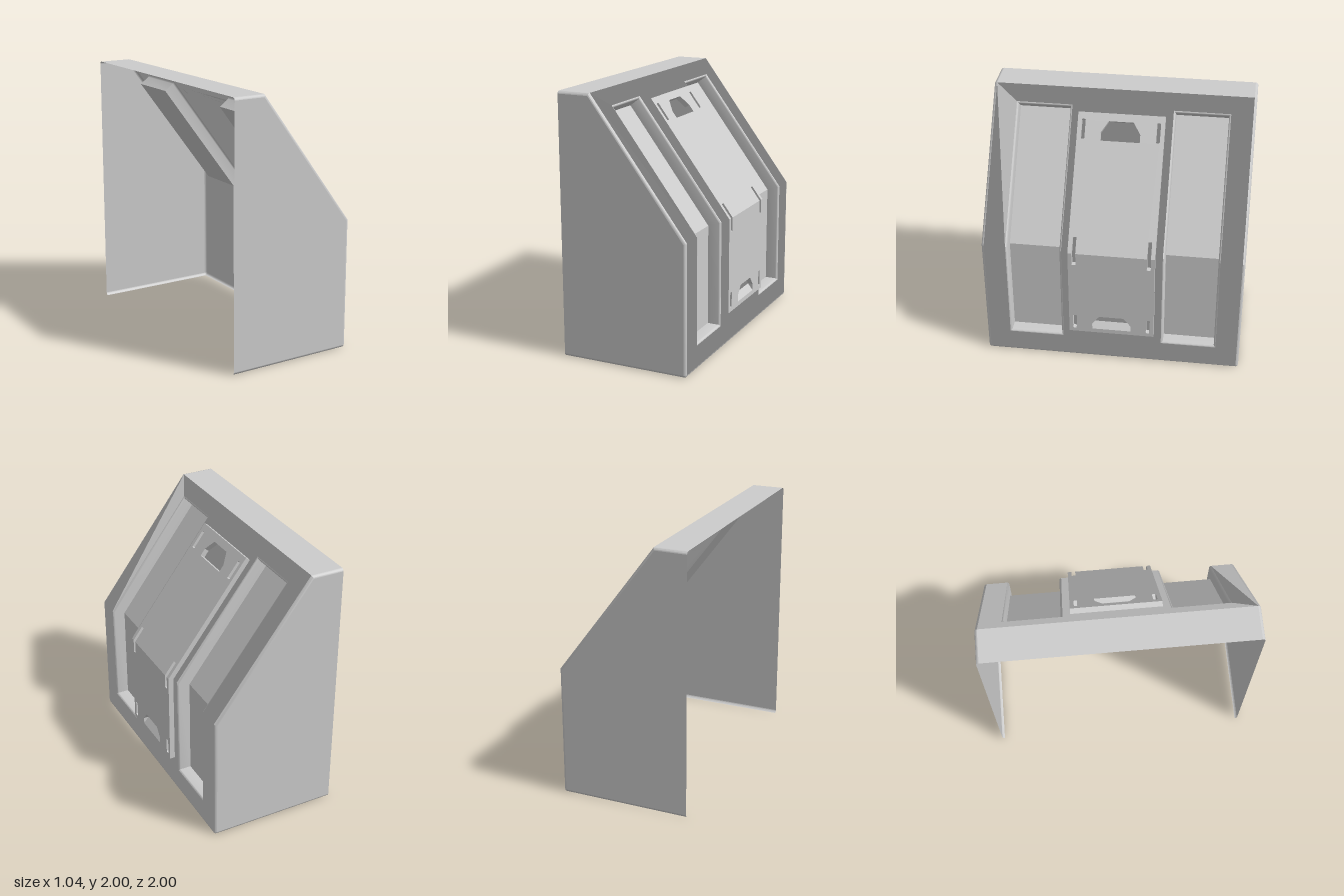
import * as THREE from 'three';
import { toCreasedNormals } from 'three/addons/utils/BufferGeometryUtils.js';

const material = new THREE.MeshStandardMaterial({ color: 0xcccccc, side: THREE.DoubleSide });
const R = 0.02; // rounding of the outer edges
const FRONT = 0.48, BACK = -0.52;
const arc = [0, 1, 2, 3].map(i => (i / 3) * Math.PI / 2);

// Maps sheet coordinates (u across, v along from the crease, w outwards)
// onto the bent face: vertical below the crease, sloped above it.
function bend(u, v, w) {
  if (v === 0) return [FRONT + w, 1 + w / 3, -u];
  if (v < 0) return [FRONT + w, 1 + v, -u];
  return [FRONT - 0.6 * v + 0.8 * w, 1 + 0.8 * v + 0.6 * w, -u];
}

function bendGeometry(geo, w = 0) {
  const p = geo.attributes.position;
  for (let i = 0; i < p.count; i++) p.setXYZ(i, ...bend(p.getX(i), p.getY(i), p.getZ(i) + w));
  return geo;
}

// Surface through rows of points
function loft(rows, closed = false) {
  const n = rows[0].length, index = [];
  for (let r = 0; r < rows.length - 1; r++) {
    for (let i = 0; i < (closed ? n : n - 1); i++) {
      const a = r * n + i, b = r * n + (i + 1) % n;
      index.push(a, b, b + n, a, b + n, a + n);
    }
  }
  const geo = new THREE.BufferGeometry();
  geo.setAttribute('position', new THREE.Float32BufferAttribute(rows.flat(2), 3));
  geo.setIndex(index);
  return toCreasedNormals(geo, 0.6);
}

// Half sheet from the crease to vEnd; notches [uMin, uMax, v] open at the crease
function halfSheet(halfWidth, vEnd, notches, holes = []) {
  const pts = [[-halfWidth, 0], [-halfWidth, vEnd], [halfWidth, vEnd], [halfWidth, 0]];
  for (const [a, b, v] of [...notches].sort((m, n) => n[0] - m[0])) pts.push([b, 0], [b, v], [a, v], [a, 0]);
  const shape = new THREE.Shape(pts.map(p => new THREE.Vector2(...p)));
  shape.holes = holes.map(h => new THREE.Path(h.map(p => new THREE.Vector2(...p))));
  return shape;
}

const mirrored = f => [-1, 1].map(f);

export function createModel() {
  const model = new THREE.Group();
  const add = (name, geo, parent = model) => {
    const mesh = new THREE.Mesh(geo, material);
    mesh.name = name;
    parent.add(mesh);
  };

  // Recess openings in the bent front
  const rec = { a: 0.4, b: 0.8, low: -0.8, high: 1.1 }, rim = 0.015;
  const bottom = -1 + R, top = 1.25;
  const cuts = v => mirrored(s => {
    const c = s * 0.6;
    return [c - 0.2 - rim, c + 0.2 + rim, v];
  });

  // Front face with two tall openings
  const front = new THREE.Group();
  front.name = 'frontFace';
  model.add(front);
  add('lowerFront', bendGeometry(new THREE.ShapeGeometry(halfSheet(1 - R, bottom, cuts(rec.low - rim)))), front);
  add('slopedFront', bendGeometry(new THREE.ShapeGeometry(halfSheet(1 - R, top, cuts(rec.high + rim)))), front);

  // Recessed channels with rounded rims, walls and a bent floor
  for (const s of [-1, 1]) {
    const channel = new THREE.Group();
    channel.name = s > 0 ? 'rightChannel' : 'leftChannel';
    model.add(channel);
    const loop = (out, w) => {
      const a = s * 0.6 - 0.2 - out, b = s * 0.6 + 0.2 + out;
      const lo = rec.low - out, hi = rec.high + out;
      return [[a, lo], [b, lo], [b, 0], [b, hi], [a, hi], [a, 0]].map(([u, v]) => bend(u, v, w));
    };
    const rows = arc.map(t => loop(rim * (1 - Math.sin(t)), -rim * (1 - Math.cos(t))));
    add('channelWalls', loft([...rows, loop(0, -0.1)], true), channel);
    const [a, b] = [s * 0.6 - 0.2, s * 0.6 + 0.2];
    add('channelFloor', loft([rec.low, 0, rec.high].map(v => [bend(a, v, -0.1), bend(b, v, -0.1)])), channel);
  }

  // Side profile, moved inwards by d
  const profile = d => [
    [FRONT - d, R], [FRONT - d, 1 - d / 3], [FRONT - 0.75 - d / 2, 2 - d], [BACK, 2 - d],
  ];

  // Top, side walls and their rounded edges
  const [, , b, k] = profile(0);
  add('topFace', loft([b, k].map(([x, y]) => [[x, y, -1 + R], [x, y, 1 - R]])));
  for (const s of [-1, 1]) {
    const name = s > 0 ? 'left' : 'right';
    add(name + 'RoundedEdge', loft(arc.map(t =>
      profile(R * (1 - Math.cos(t))).map(([x, y]) => [x, y, s * (1 - R + R * Math.sin(t))]))));
    const wall = new THREE.Shape([[BACK, R], ...profile(R)].map(p => new THREE.Vector2(...p)));
    add(name + 'Wall', new THREE.ShapeGeometry(wall).translate(0, 0, s));
  }

  // Rounded lip around the open bottom
  add('bottomLip', loft(arc.map(t => {
    const d = R * (1 - Math.cos(t)), y = R * (1 - Math.sin(t)), r = R - d;
    const half = [[BACK, 1 - d], ...arc.map(q => [FRONT - R + r * Math.sin(q), 1 - R + r * Math.cos(q)])];
    const other = half.map(([x, z]) => [x, -z]).reverse();
    return [...half, ...other].map(([x, z]) => [x, y, z]);
  })));

  // Raised centre panel with slots and hand grips
  const panel = new THREE.Group();
  panel.name = 'centrePanel';
  model.add(panel);
  const slot = (s, lo, hi) => {
    const u = s * 0.285, h = 0.015, c = 0.006;
    return [[u - h, lo + c], [u - h + c, lo], [u + h - c, lo], [u + h, lo + c],
      [u + h, hi - c], [u + h - c, hi], [u - h + c, hi], [u - h, hi - c]];
  };
  const grip = (lo, mid, hi) => [[-0.15, lo], [0.15, lo], [0.15, mid], [0.095, hi], [-0.095, hi], [-0.15, mid]];
  const midSlots = v => mirrored(s => [s * 0.285 - 0.015, s * 0.285 + 0.015, v]);
  const plate = (name, vEnd, notchEnd, holes) => {
    const geo = new THREE.ExtrudeGeometry(halfSheet(0.33, vEnd, midSlots(notchEnd), holes),
      { depth: 0.04, bevelEnabled: false });
    add(name, toCreasedNormals(bendGeometry(geo), 0.3), panel);
  };
  plate('lowerPlate', -0.725, -0.09,
    [...mirrored(s => slot(s, -0.695, -0.57)), grip(-0.69, -0.64, -0.57)]);
  plate('upperPlate', 1.06, 0.114,
    [...mirrored(s => slot(s, 0.857, 1.007)), grip(0.85, 0.91, 1.0)]);

  // Ramp leading into the lower grip
  add('gripRamp', loft([[-0.69, 0.04], [-0.64, 0.001]].map(([v, w]) => [bend(-0.15, v, w), bend(0.15, v, w)])), panel);

  return model;
}
